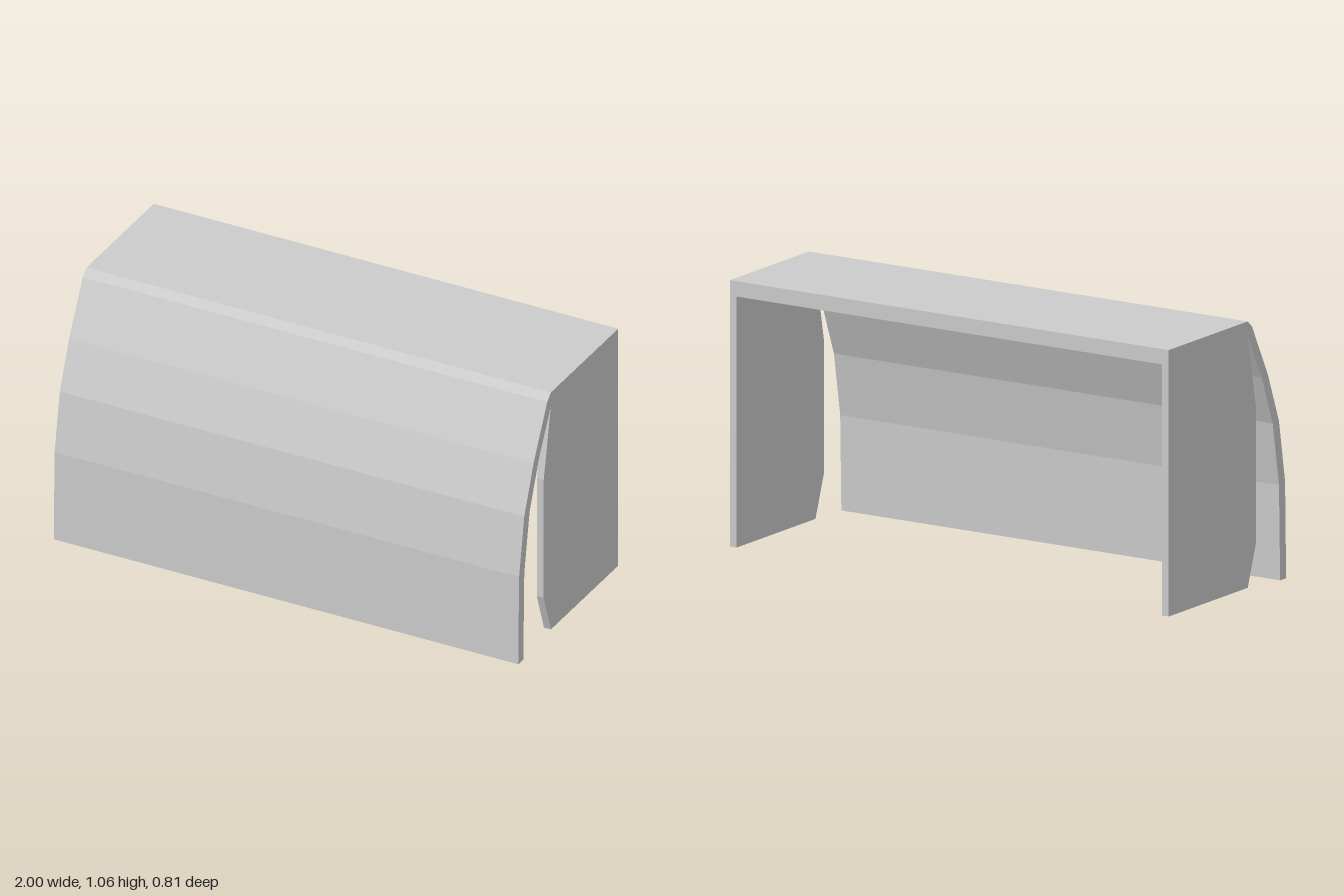
import * as THREE from 'three';

const material = new THREE.MeshStandardMaterial({ color: 0xcccccc, flatShading: true });

// Extrudes a [z, y] side profile across x, from xMin to xMax
function profilePart(name, points, xMin, xMax) {
  const shape = new THREE.Shape(points.map(([z, y]) => new THREE.Vector2(z, y)));
  const geometry = new THREE.ExtrudeGeometry(shape, { depth: xMax - xMin, bevelEnabled: false });
  geometry.rotateY(-Math.PI / 2).translate(xMax, 0, 0);
  const mesh = new THREE.Mesh(geometry, material);
  mesh.name = name;
  return mesh;
}

export function createModel() {
  const group = new THREE.Group();
  group.name = 'hood';
  const back = -0.404, halfWidth = 1, panelThickness = 0.03;

  // Top slab running into the faceted, curved front panel
  group.add(profilePart('topAndFrontPanel', [
    [back, 1.06], [0.14, 1.06], [0.17, 1.033], [0.28, 0.82], [0.355, 0.625], [0.397, 0.38], [0.404, 0],
    [0.363, 0], [0.355, 0.375], [0.312, 0.625], [0.236, 0.82], [0.14, 1.0], [back, 1.0],
  ], -halfWidth, halfWidth));

  // Side panels with chamfered front edges
  const side = [[back, 0.017], [0.14, 0.017], [0.198, 0.185], [0.198, 0.705], [0.14, 1.0], [back, 1.0]];
  group.add(profilePart('leftSidePanel', side, halfWidth - panelThickness, halfWidth));
  group.add(profilePart('rightSidePanel', side, -halfWidth, -halfWidth + panelThickness));

  return group;
}
